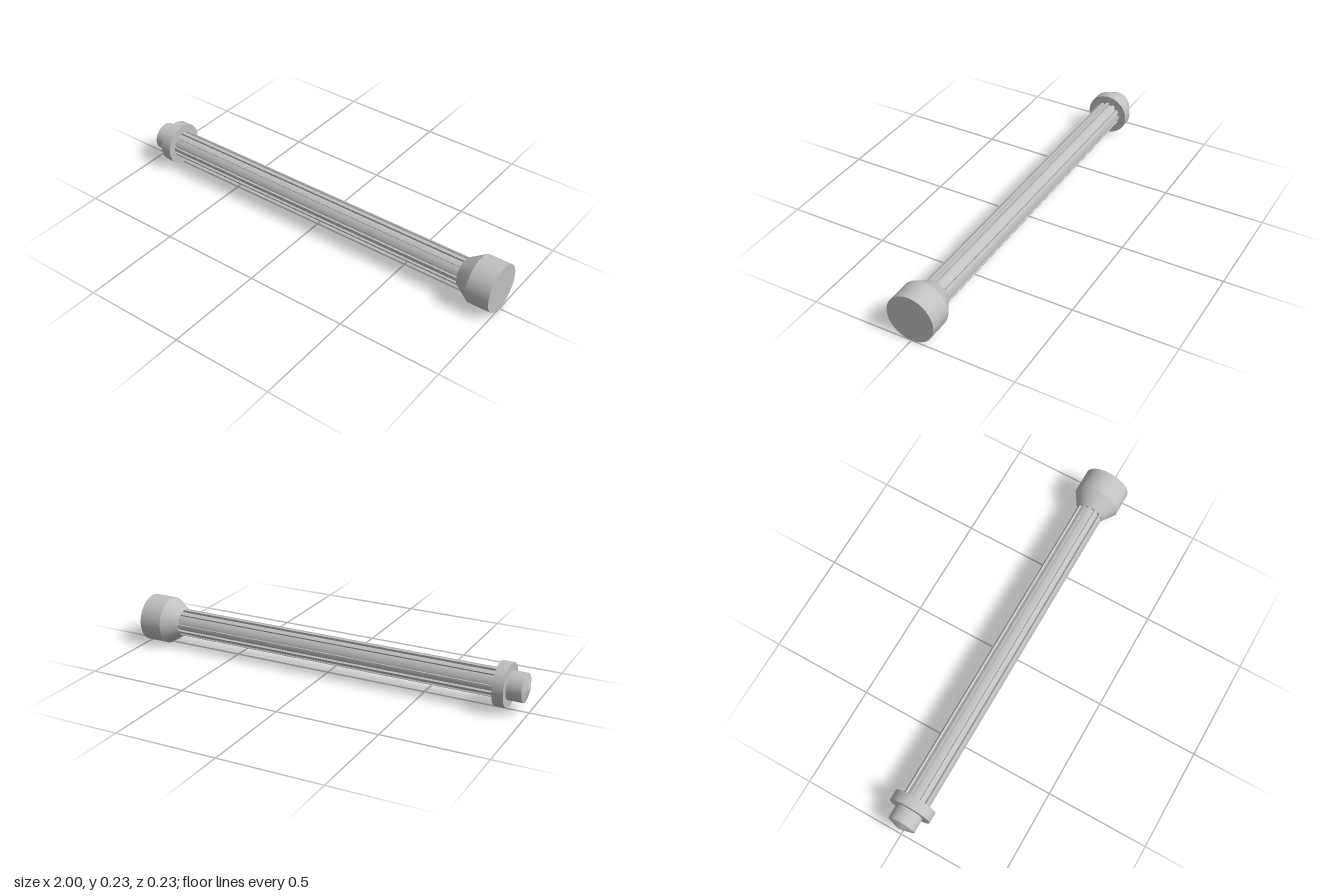
import * as THREE from 'three';

const CENTER_Y = 0.116;

export function createModel() {
  const model = new THREE.Group();
  const steel = new THREE.MeshStandardMaterial({ color: 0xc0c0c0 });
  steel.name = 'grey steel';

  // Turned part along x; each [x, radius] segment is its own lathe, so edges stay sharp
  function turned(name, profile) {
    const part = new THREE.Group();
    part.name = name;
    for (let i = 0; i < profile.length - 1; i++) {
      const points = [profile[i], profile[i + 1]].map(([x, r]) => new THREE.Vector2(r, x));
      const geometry = new THREE.LatheGeometry(points, 64);
      geometry.rotateZ(-Math.PI / 2);
      part.add(new THREE.Mesh(geometry, steel));
    }
    part.position.y = CENTER_Y;
    model.add(part);
  }

  turned('flaredHead', [[0.81, 0], [0.81, 0.068], [0.885, 0.116], [1, 0.116], [1, 0]]);
  turned('collar', [[-0.908, 0], [-0.908, 0.104], [-0.855, 0.104], [-0.855, 0]]);
  turned('pointedTip', [[-1, 0], [-0.98, 0.068], [-0.908, 0.068]]);

  // Splined shaft: raised ribs with square-walled grooves between them
  const ribs = 12, outer = 0.068, inner = 0.057;
  const section = new THREE.Shape();
  for (let i = 0; i < ribs; i++) {
    const a = (i / ribs) * Math.PI * 2, half = Math.PI / ribs / 2;
    const corners = [[inner, -half], [outer, -half], [outer, 0], [outer, half], [inner, half], [inner, half * 2]];
    corners.forEach(([r, d], k) => {
      const x = r * Math.cos(a + d), y = r * Math.sin(a + d);
      if (i === 0 && k === 0) section.moveTo(x, y);
      else section.lineTo(x, y);
    });
  }
  section.closePath();
  const shaftGeometry = new THREE.ExtrudeGeometry(section, { depth: 1.667, bevelEnabled: false });
  shaftGeometry.rotateY(Math.PI / 2);
  const shaft = new THREE.Mesh(shaftGeometry, steel);
  shaft.name = 'splinedShaft';
  shaft.position.set(-0.856, CENTER_Y, 0);
  model.add(shaft);

  return model;
}
